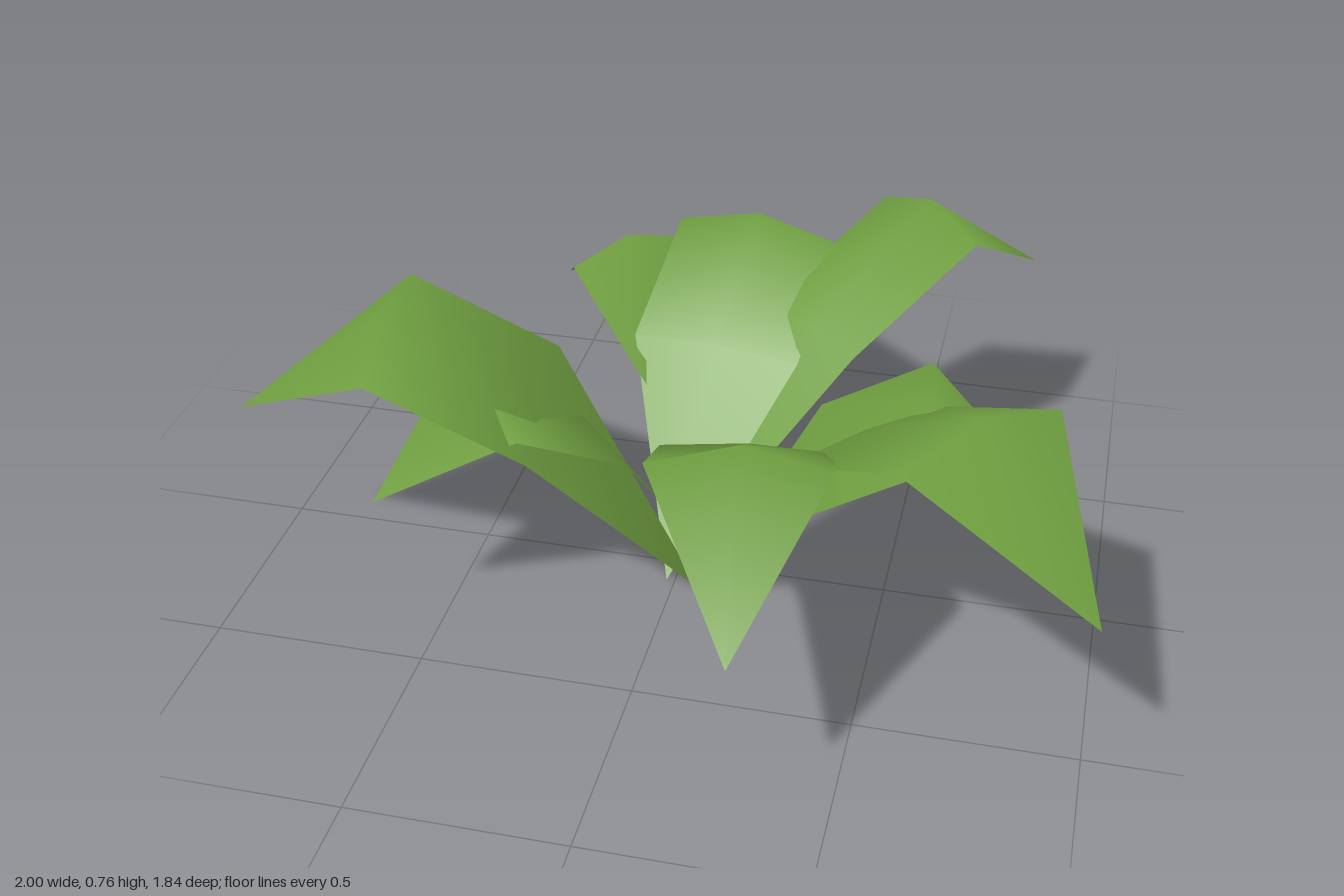
import * as THREE from 'three';

const leafGreen = new THREE.MeshStandardMaterial({ color: 0x6f9e40, side: THREE.DoubleSide });
leafGreen.name = 'leafGreen';

// Arched leaf: pointed base, two creased cross-sections, drooping tip
function makeLeaf([bx, bz], [tx, tz], width, height) {
  const dx = tx - bx, dz = tz - bz, length = Math.hypot(dx, dz);
  const sideX = -dz / length * width / 2, sideZ = dx / length * width / 2;
  const points = [bx, 0, bz];
  // share of length, edge height, midrib height
  for (const [t, edge, rib] of [[0.335, 0.505, 0.52], [0.66, 0.685, 0.74]]) {
    for (const s of [-1, 0, 1]) {
      points.push(bx + dx * t + sideX * s, (s ? edge : rib) * height, bz + dz * t + sideZ * s);
    }
  }
  points.push(tx, 0.455 * height, tz);

  const geometry = new THREE.BufferGeometry();
  geometry.setAttribute('position', new THREE.Float32BufferAttribute(points, 3));
  const faces = [];
  for (const i of [1, 2]) {
    faces.push(0, i + 1, i);                              // stem end
    faces.push(i, i + 1, i + 4, i, i + 4, i + 3);         // blade
    faces.push(i + 3, i + 4, 7);                          // tip
  }
  geometry.setIndex(faces);
  // keep the front of every face turned upward
  for (let k = 0; k < faces.length; k += 3) {
    const [a, b, c] = [0, 1, 2].map(j => new THREE.Vector3().fromArray(points, faces[k + j] * 3));
    if (b.sub(a).cross(c.sub(a)).y < 0) [faces[k + 1], faces[k + 2]] = [faces[k + 2], faces[k + 1]];
  }
  geometry.setIndex(faces);
  geometry.computeVertexNormals();
  return new THREE.Mesh(geometry, leafGreen);
}

export function createModel() {
  const plant = new THREE.Group();
  plant.name = 'leafyPlant';
  // name, base [x, z], tip [x, z], width, height scale
  const leaves = [
    ['rightLeaf', [0.06, 0.09], [-1.0, 0.24], 0.52, 1.0],
    ['rightLowLeaf', [-0.01, -0.13], [-0.62, 0.41], 0.38, 0.79],
    ['frontLeaf', [0.15, -0.13], [0.30, 0.92], 0.39, 1.0],
    ['frontLeftLeaf', [0.17, -0.13], [1.0, 0.65], 0.44, 1.03],
    ['backLeaf', [-0.02, 0.08], [0.11, -0.92], 0.42, 0.92],
    ['backLeftLeaf', [-0.01, 0.0], [0.75, -0.89], 0.33, 1.03],
    ['backRightLowLeaf', [0.15, -0.13], [-0.48, -0.73], 0.32, 0.82],
    ['leftLowLeaf', [0.06, 0.07], [0.85, -0.01], 0.47, 0.76],
  ];
  for (const [name, base, tip, width, height] of leaves) {
    const leaf = makeLeaf(base, tip, width, height);
    leaf.name = name;
    plant.add(leaf);
  }
  return plant;
}
